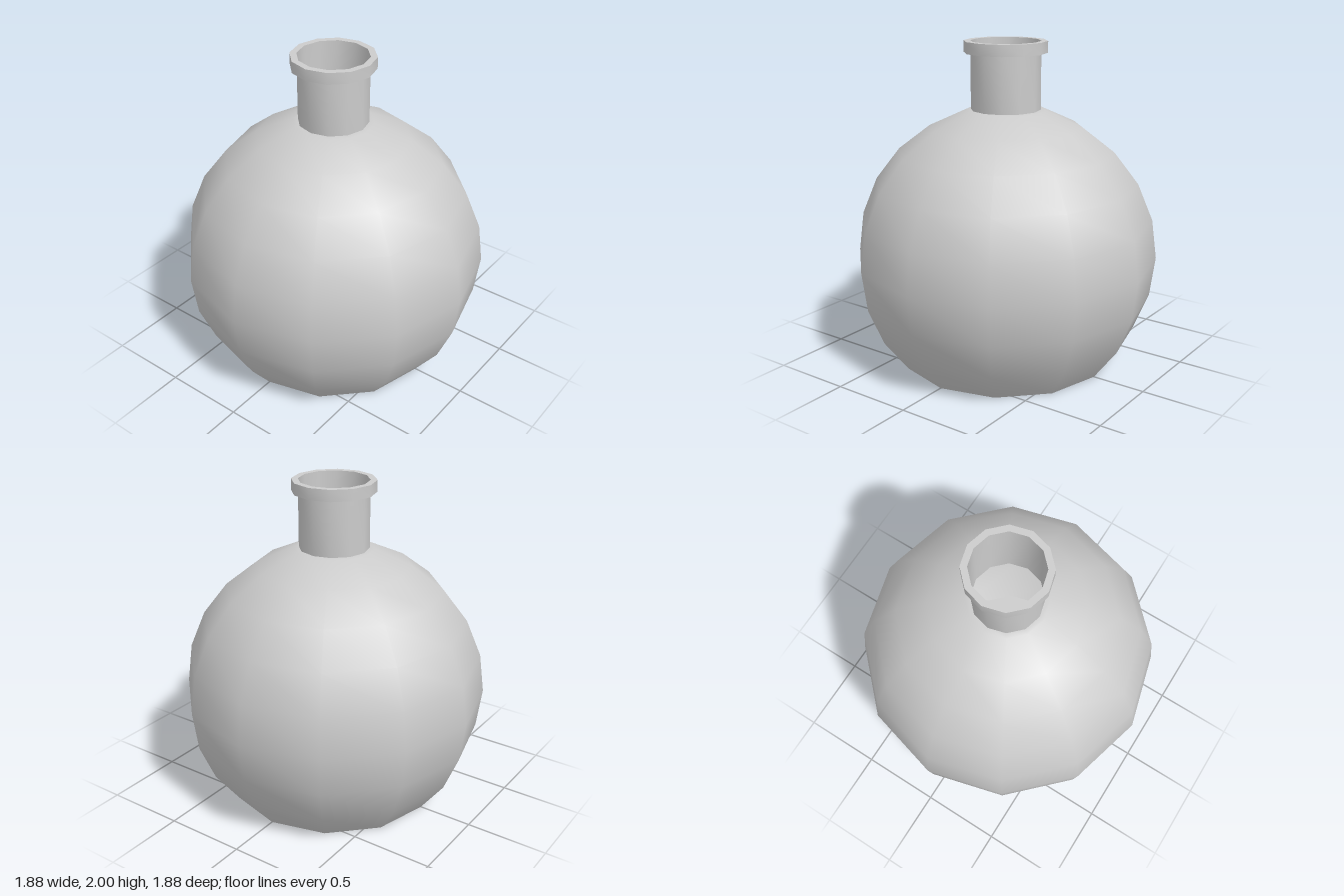
import * as THREE from 'three';
import { toCreasedNormals } from 'three/addons/utils/BufferGeometryUtils.js';

const SIDES = 12;
const RADIUS = 0.94;
const CENTER_Y = 0.667;
const NECK_R = 0.213;
const LIP_R = 0.253;

export function createModel() {
  const group = new THREE.Group();
  const material = new THREE.MeshStandardMaterial({ color: 0xcccccc, side: THREE.DoubleSide });

  // Revolve a profile of [radius, height] pairs, smooth around, sharp at corners
  const addLathe = (name, profile) => {
    const points = profile.map(([r, y]) => new THREE.Vector2(r, y));
    const geometry = toCreasedNormals(new THREE.LatheGeometry(points, SIDES), 0.7);
    const mesh = new THREE.Mesh(geometry, material);
    mesh.name = name;
    group.add(mesh);
  };

  // Round hollow body: rings every 15 degrees, cut flat below
  const bodyProfile = [];
  for (let deg = -45; deg <= 75; deg += 15) {
    const a = THREE.MathUtils.degToRad(deg);
    bodyProfile.push([RADIUS * Math.cos(a), CENTER_Y + RADIUS * Math.sin(a)]);
  }
  bodyProfile[0][1] = 0;
  bodyProfile[bodyProfile.length - 1][1] = 1.585;
  bodyProfile.push([NECK_R, 1.588]);
  addLathe('body', bodyProfile);

  // Flat base, facing down
  const baseGeometry = new THREE.CircleGeometry(bodyProfile[0][0], SIDES);
  baseGeometry.rotateX(Math.PI / 2);
  const base = new THREE.Mesh(baseGeometry, material);
  base.name = 'base';
  group.add(base);

  // Open thin neck
  addLathe('neck', [[NECK_R, 1.588], [NECK_R, 2]]);

  // Lip ring around the mouth
  addLathe('lip', [[NECK_R, 1.93], [LIP_R, 1.93], [LIP_R, 2], [NECK_R, 2]]);

  return group;
}
